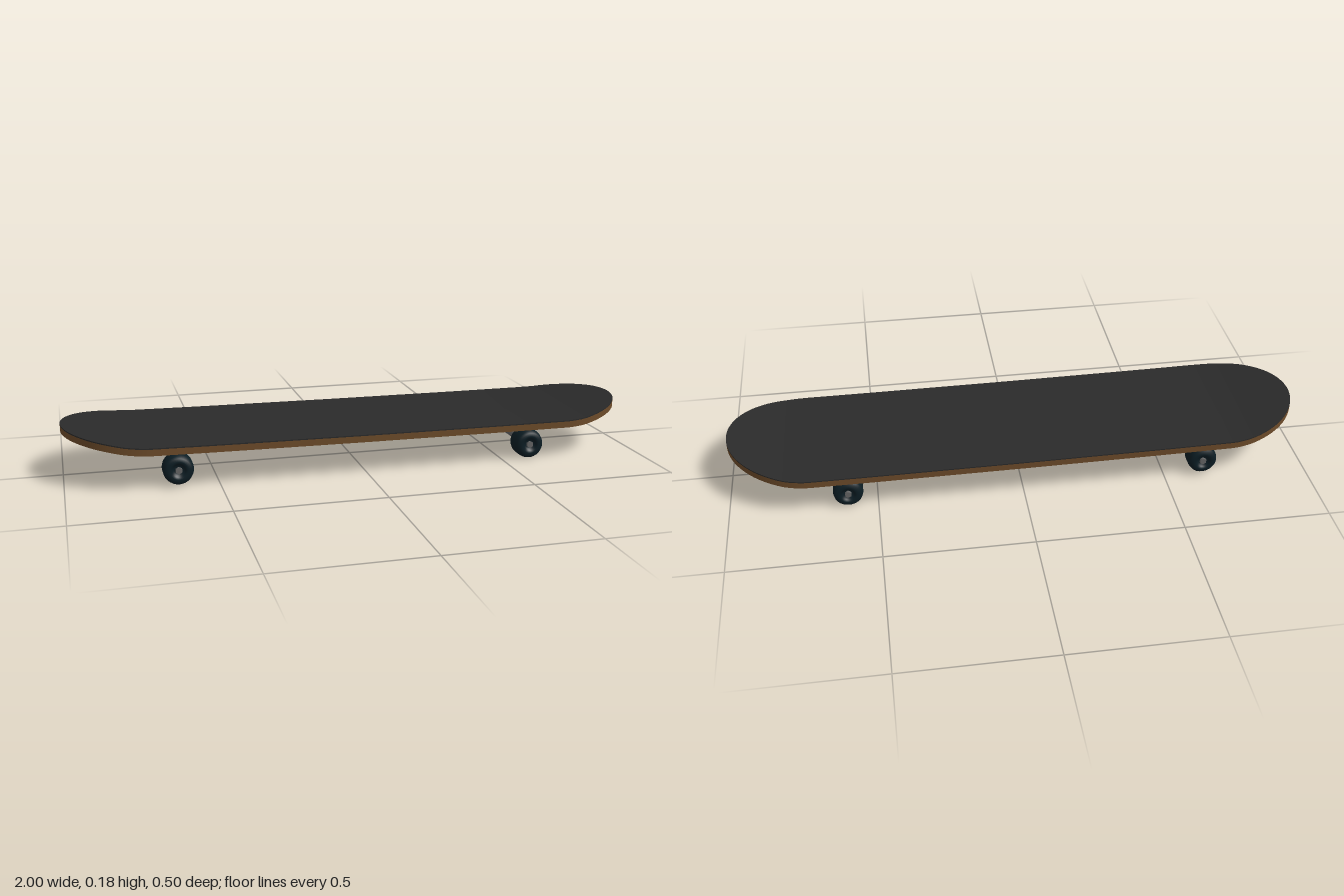
import * as THREE from 'three';

const material = (color, side = THREE.FrontSide) => new THREE.MeshStandardMaterial({ color, side });
const GRIP = material(0x2a2a2a), WOOD = material(0x6e4c2a), UNDER = material(0x777777);
const PLATE = material(0x2c2c2c), METAL = material(0x666666), RUBBER = material(0x0c1d24);

function add(parent, name, geometry, mat, x = 0, y = 0, z = 0) {
  const mesh = new THREE.Mesh(geometry, mat);
  mesh.name = name;
  mesh.position.set(x, y, z);
  parent.add(mesh);
  return mesh;
}

// Surface between two rows of points running along +x
function strip(a, b) {
  const n = a.length, index = [];
  for (let i = 0; i < n - 1; i++) index.push(i, i + 1, n + i + 1, i, n + i + 1, n + i);
  const geometry = new THREE.BufferGeometry().setFromPoints([...a, ...b]);
  geometry.setIndex(index);
  geometry.computeVertexNormals();
  return geometry;
}

// Top height of the deck along its length
const PROFILE = [[-1, 0.181], [-0.9, 0.165], [-0.8, 0.15], [-0.74, 0.145], [-0.5, 0.142], [0, 0.138],
  [0.5, 0.136], [0.74, 0.136], [0.8, 0.139], [0.9, 0.154], [1, 0.17]];
function deckHeight(x) {
  let i = 0;
  while (i < PROFILE.length - 2 && x > PROFILE[i + 1][0]) i++;
  const [x0, y0] = PROFILE[i], [x1, y1] = PROFILE[i + 1];
  return y0 + (y1 - y0) * (x - x0) / (x1 - x0);
}

// Parallel sides with elliptical nose and tail
function halfWidth(x) {
  const t = Math.max(0, (Math.abs(x) - 0.72) / 0.28);
  return 0.25 * Math.sqrt(Math.max(0, 1 - t * t));
}

function createDeck() {
  const deck = new THREE.Group();
  deck.name = 'deck';
  const stations = [];
  for (let i = 0; i <= 20; i++) stations.push(-0.72 - 0.28 * Math.cos(i / 20 * Math.PI / 2));
  for (let i = 1; i < 16; i++) stations.push(-0.72 + 1.44 * i / 16);
  for (let i = 0; i <= 20; i++) stations.push(0.72 + 0.28 * Math.sin(i / 20 * Math.PI / 2));
  const row = (side, drop) => stations.map(x =>
    new THREE.Vector3(x, deckHeight(x) - drop, side * halfWidth(x)));
  const grip = 0.004, thick = 0.026;
  add(deck, 'gripTop', strip(row(1, 0), row(-1, 0)), GRIP);
  add(deck, 'gripEdgeFront', strip(row(1, grip), row(1, 0)), GRIP);
  add(deck, 'gripEdgeBack', strip(row(-1, 0), row(-1, grip)), GRIP);
  add(deck, 'woodEdgeFront', strip(row(1, thick), row(1, grip)), WOOD);
  add(deck, 'woodEdgeBack', strip(row(-1, grip), row(-1, thick)), WOOD);
  add(deck, 'underside', strip(row(-1, thick), row(1, thick)), UNDER);
  return deck;
}

function roundedRect(path, w, h, r) {
  path.moveTo(-w + r, -h);
  path.lineTo(w - r, -h);
  path.absarc(w - r, -h + r, r, -Math.PI / 2, 0);
  path.absarc(w - r, h - r, r, 0, Math.PI / 2);
  path.absarc(-w + r, h - r, r, Math.PI / 2, Math.PI);
  path.absarc(-w + r, -h + r, r, Math.PI, Math.PI * 1.5);
  return path;
}

function createWheel(side) {
  const wheel = new THREE.Group();
  wheel.name = 'wheel';
  // Rounded tyre with a recessed core on each face
  const p = [[0.008, -0.028], [0.018, -0.028], [0.022, -0.036], [0.03, -0.039], [0.042, -0.037], [0.048, -0.03],
    [0.051, -0.018], [0.051, 0.018], [0.048, 0.03], [0.042, 0.037], [0.03, 0.039], [0.022, 0.036],
    [0.018, 0.028], [0.008, 0.028]].map(([r, y]) => new THREE.Vector2(r, y));
  add(wheel, 'tyre', new THREE.LatheGeometry(p, 32), RUBBER);
  add(wheel, 'axleNut', new THREE.CylinderGeometry(0.012, 0.012, 0.012, 6), METAL, 0, 0.031, 0);
  wheel.rotation.x = side * Math.PI / 2;
  wheel.position.z = side * 0.194;
  return wheel;
}

// Truck with local +x pointing to the nearest end of the board
function createTruck() {
  const truck = new THREE.Group();
  truck.name = 'truck';

  // Baseplate with a raised rim and mounting bolts
  const base = add(truck, 'baseplate', new THREE.BoxGeometry(0.296, 0.014, 0.236), PLATE, 0, 0.108, 0);
  base.geometry.translate(0, 0, 0);
  const rim = roundedRect(new THREE.Shape(), 0.146, 0.118, 0.012);
  rim.holes.push(roundedRect(new THREE.Path(), 0.11, 0.078, 0.02));
  const rimGeometry = new THREE.ExtrudeGeometry(rim, {
    depth: 0.012, bevelThickness: 0.003, bevelSize: 0.004, bevelSegments: 1, curveSegments: 5 });
  rimGeometry.rotateX(Math.PI / 2);
  add(truck, 'baseplateRim', rimGeometry, PLATE, 0, 0.106, 0);
  for (const x of [-0.125, 0.125]) for (const z of [-0.098, 0.098])
    add(truck, 'bolt', new THREE.CylinderGeometry(0.011, 0.009, 0.008, 12), METAL, x, 0.088, z);

  // Axle and wheels
  const running = new THREE.Group();
  running.name = 'axleAssembly';
  running.position.set(0.024, 0.053, 0);
  truck.add(running);
  add(running, 'axle', new THREE.CylinderGeometry(0.015, 0.015, 0.33, 20).rotateX(Math.PI / 2), METAL);
  add(running, 'spindle', new THREE.CylinderGeometry(0.007, 0.007, 0.46, 12).rotateX(Math.PI / 2), METAL);
  running.add(createWheel(1), createWheel(-1));

  // Hanger: tapers from the axle to a ring round the kingpin
  const plan = new THREE.Shape();
  plan.moveTo(0.012, -0.06);
  plan.quadraticCurveTo(-0.02, -0.035, -0.075, -0.032);
  plan.absarc(-0.075, 0, 0.032, -Math.PI / 2, Math.PI / 2, true);
  plan.quadraticCurveTo(-0.02, 0.035, 0.012, 0.06);
  plan.closePath();
  plan.holes.push(new THREE.Path().absarc(-0.075, 0, 0.016, 0, Math.PI * 2));
  const hanger = add(running, 'hanger', new THREE.ExtrudeGeometry(plan, {
    depth: 0.014, bevelEnabled: false, curveSegments: 12 }).rotateX(Math.PI / 2), METAL, 0, 0.012, 0);
  hanger.rotation.z = -0.15;

  // Pivot arm flaring where it joins the axle
  const flare = new THREE.Shape();
  flare.moveTo(-0.06, 0.008);
  flare.quadraticCurveTo(-0.045, 0.018, -0.036, 0.04);
  flare.lineTo(0.036, 0.04);
  flare.quadraticCurveTo(0.045, 0.018, 0.06, 0.008);
  flare.closePath();
  add(running, 'pivotArm', new THREE.ExtrudeGeometry(flare, { depth: 0.024, bevelEnabled: false })
    .translate(0, 0, -0.012).rotateY(Math.PI / 2), METAL);

  // Tilted kingpin with bushings
  const kingpin = new THREE.Group();
  kingpin.name = 'kingpin';
  kingpin.position.set(-0.052, 0.08, 0);
  kingpin.rotation.z = -0.15;
  truck.add(kingpin);
  add(kingpin, 'upperBushing', new THREE.CylinderGeometry(0.034, 0.028, 0.026, 20), PLATE, 0, 0.013, 0);
  add(kingpin, 'lowerBushing', new THREE.CylinderGeometry(0.026, 0.02, 0.012, 20), PLATE, 0, -0.016, 0);
  add(kingpin, 'kingpinNut', new THREE.CylinderGeometry(0.012, 0.012, 0.01, 6), METAL, 0, -0.025, 0);
  return truck;
}

export function createModel() {
  const board = new THREE.Group();
  board.name = 'skateboard';
  board.add(createDeck());
  const right = createTruck();
  right.name = 'leftEndTruck';
  right.position.set(0.575, -0.002, 0);
  const left = createTruck();
  left.name = 'rightEndTruck';
  left.position.set(-0.61, 0.003, 0);
  left.rotation.y = Math.PI;
  board.add(right, left);
  return board;
}
